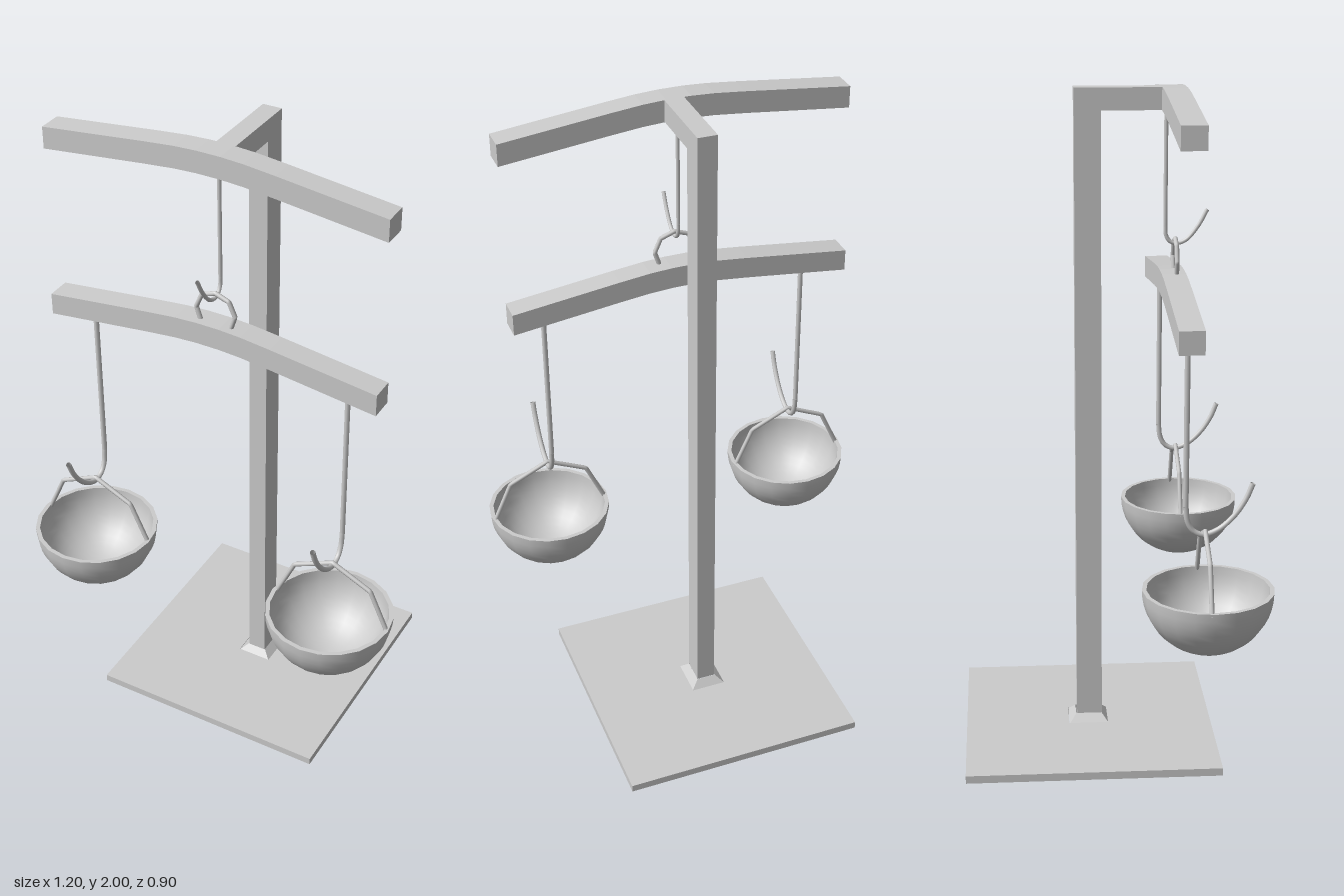
import * as THREE from 'three';

const flat = new THREE.MeshStandardMaterial({ color: 0xcccccc, flatShading: true, side: THREE.DoubleSide });
const smooth = new THREE.MeshStandardMaterial({ color: 0xcccccc, side: THREE.DoubleSide });

function add(parent, name, geometry, material = flat) {
  const mesh = new THREE.Mesh(geometry, material);
  mesh.name = name;
  parent.add(mesh);
  return mesh;
}

// Box given by its limits on each axis
function boxBetween(x0, x1, y0, y1, z0, z1) {
  return new THREE.BoxGeometry(x1 - x0, y1 - y0, z1 - z0)
    .translate((x0 + x1) / 2, (y0 + y1) / 2, (z0 + z1) / 2);
}

// Gently bowed beam of square section
function bowedBeam(x0, x1, endY, midY, height, z0, z1) {
  const c = (x0 + x1) / 2, half = (x1 - x0) / 2, rise = midY - endY;
  const top = [[-1, 0], [-0.38, 0.74], [-0.2, 0.93], [-0.07, 1], [0.07, 1], [0.2, 0.93], [0.38, 0.74], [1, 0]]
    .map(([u, v]) => new THREE.Vector2(c + u * half, endY + v * rise));
  const bottom = top.map(p => new THREE.Vector2(p.x, p.y - height)).reverse();
  return new THREE.ExtrudeGeometry(new THREE.Shape([...top, ...bottom]), { depth: z1 - z0, bevelEnabled: false })
    .translate(0, 0, z0);
}

// Wire through points; tension 0 keeps straight runs between corners
function wire(points, radius, tension = 0.5, type = 'centripetal') {
  const curve = new THREE.CatmullRomCurve3(points.map(p => new THREE.Vector3(...p)), false, type, tension);
  return new THREE.TubeGeometry(curve, 64, radius, 8, false);
}
const bentWire = (points, radius) => wire(points, radius, 0, 'catmullrom');

// Straight shank that turns into an open hook, lying in the plane x = constant
function addHook(parent, name, x, radius, topY, path) {
  const [z, y] = path[0];
  const length = topY - y;
  add(parent, name + 'Shank', new THREE.CylinderGeometry(radius, radius, length, 8).translate(x, y + length / 2, z), smooth);
  add(parent, name + 'Curl', wire(path.map(([pz, py]) => [x, py, pz]), radius), smooth);
}

export function createModel() {
  const model = new THREE.Group();
  model.name = 'hangingScale';

  // Base plate with an opening under the foot
  const plate = new THREE.Shape([[-0.37, -0.315], [0.39, -0.315], [0.39, 0.453], [-0.37, 0.453]]
    .map(p => new THREE.Vector2(...p)));
  plate.holes.push(new THREE.Path([[-0.044, 0.01], [-0.044, 0.131], [0.065, 0.131], [0.065, 0.01]]
    .map(p => new THREE.Vector2(...p))));
  add(model, 'basePlate', new THREE.ExtrudeGeometry(plate, { depth: 0.024, bevelEnabled: false }).rotateX(-Math.PI / 2));

  // Hollow tapered foot around the post
  const foot = new THREE.CylinderGeometry(1, 1, 0.024, 4, 1, true, Math.PI / 4);
  const pos = foot.attributes.position;
  for (let i = 0; i < pos.count; i++) {
    const upper = pos.getY(i) > 0;
    pos.setX(i, Math.sign(pos.getX(i)) * (upper ? 0.03 : 0.055) + 0.011);
    pos.setZ(i, Math.sign(pos.getZ(i)) * (upper ? 0.04 : 0.061) - 0.068);
  }
  foot.translate(0, 0.034, 0);
  foot.computeVertexNormals();
  add(model, 'foot', foot);

  // Post and forward arm
  add(model, 'post', boxBetween(-0.018, 0.04, 0.044, 2, -0.105, -0.027));
  add(model, 'arm', boxBetween(-0.018, 0.04, 1.935, 2, -0.027, 0.15));

  // Beams
  add(model, 'upperBeam', bowedBeam(-0.525, 0.52, 1.95, 2, 0.066, 0.148, 0.22));
  add(model, 'lowerBeam', bowedBeam(-0.54, 0.51, 1.41, 1.465, 0.067, 0.148, 0.22));

  // Centre hook and the ring it carries
  addHook(model, 'centreHook', -0.003, 0.006, 1.95,
    [[0.162, 1.6], [0.164, 1.572], [0.176, 1.553], [0.197, 1.547], [0.225, 1.558], [0.26, 1.6], [0.285, 1.646]]);
  const half = [[0.045, 1.45], [0.062, 1.502], [0.043, 1.545]];
  const ring = [...half, [0, 1.561], ...half.map(([x, y]) => [-x, y]).reverse()];
  add(model, 'beamRing', bentWire(ring.map(([x, y]) => [x - 0.002, y, 0.192]), 0.007), smooth);

  // Hanging bowls
  for (const [side, x] of [['left', 0.41], ['right', -0.41]]) {
    const pan = new THREE.Group();
    pan.name = side + 'Pan';
    model.add(pan);

    addHook(pan, 'panHook', x, 0.008, 1.4,
      [[0.187, 0.87], [0.193, 0.825], [0.21, 0.797], [0.238, 0.786], [0.28, 0.8], [0.325, 0.84], [0.358, 0.89], [0.377, 0.936]]);

    // Bent handle over the bowl
    const handle = [[-0.183, 0.608], [-0.124, 0.738], [0, 0.796], [0.124, 0.738], [0.183, 0.608]];
    add(pan, 'handle', bentWire(handle.map(([u, y]) => [x + u, y, 0.244]), 0.007), smooth);

    // Hollow hemispherical bowl with separate outer, inner and rim surfaces
    const arc = r => Array.from({ length: 13 }, (_, i) => {
      const a = (i / 12) * Math.PI / 2;
      return new THREE.Vector2(r * Math.sin(a), -r * Math.cos(a));
    });
    const rim = [new THREE.Vector2(0.191, 0), new THREE.Vector2(0.178, 0)];
    for (const [name, profile] of [['bowlOutside', arc(0.191)], ['bowlInside', arc(0.178).reverse()], ['bowlRim', rim]]) {
      add(pan, name, new THREE.LatheGeometry(profile, 20).translate(x, 0.62, 0.255), smooth);
    }
  }
  return model;
}
